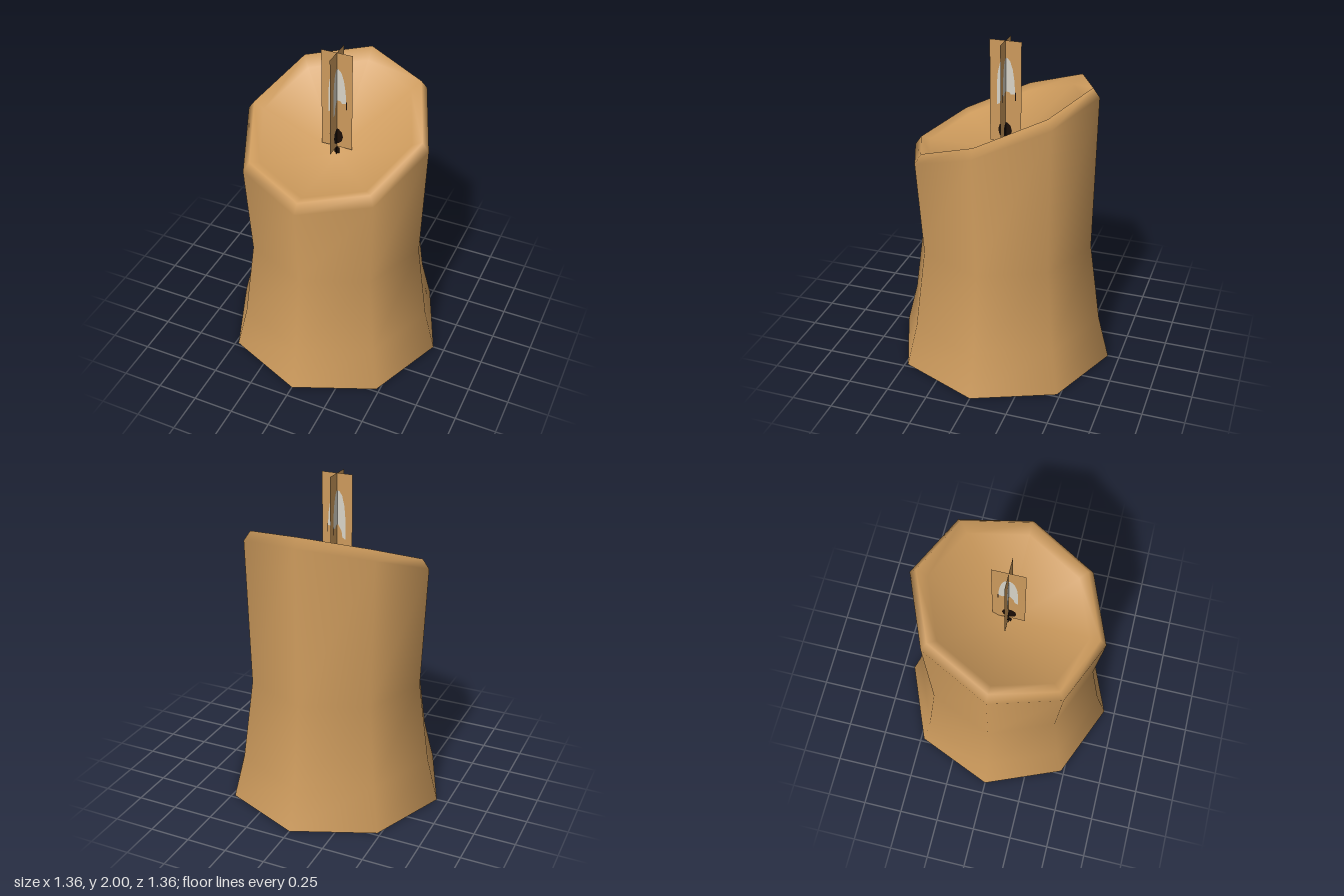
import * as THREE from 'three';

const wax = new THREE.MeshStandardMaterial({ color: 0xcc9a5c, side: THREE.DoubleSide });
wax.name = 'tan wax';
const pale = new THREE.MeshStandardMaterial({ color: 0xd8d4c8, side: THREE.DoubleSide });
pale.name = 'pale flame';
const char = new THREE.MeshStandardMaterial({ color: 0x1a0d05, side: THREE.DoubleSide });
char.name = 'charred wick';

const SIDES = 8;

// Rings from the base up over the slanted rim and down into the hollow:
// radius, height at the axis, slope towards the front, z offset
const rings = [
  [0.68, 0, 0, 0],
  [0.61, 0.27, 0, 0],
  [0.54, 0.77, 0, 0],
  [0.566, 1.51, -0.39, 0.012],
  [0.526, 1.565, -0.417, 0.012],
  [0.465, 1.53, -0.41, 0.012],
];
const HOLLOW = 1.33;

function bodyGeometry() {
  const pos = [], index = [];
  for (const [r, y, slope, dz] of rings) {
    for (let i = 0; i < SIDES; i++) {
      const a = (i / SIDES) * Math.PI * 2;
      const x = Math.sin(a) * r, z = Math.cos(a) * r + dz;
      pos.push(x, y + slope * z, z);
    }
  }
  const centre = rings.length * SIDES;
  pos.push(0, HOLLOW, 0);
  for (let k = 0; k < rings.length; k++) {
    for (let i = 0; i < SIDES; i++) {
      const j = (i + 1) % SIDES;
      const a = k * SIDES + i, b = k * SIDES + j;
      if (k === rings.length - 1) index.push(a, b, centre);
      else index.push(a, b, b + SIDES, a, b + SIDES, a + SIDES);
    }
  }
  const g = new THREE.BufferGeometry();
  g.setAttribute('position', new THREE.Float32BufferAttribute(pos, 3));
  g.setIndex(index);
  g.computeVertexNormals();
  return g;
}

function add(parent, geometry, material, name, x = 0, y = 0, z = 0) {
  const m = new THREE.Mesh(geometry, material);
  m.name = name;
  m.position.set(x, y, z);
  parent.add(m);
  return m;
}

// Flame outline with a notched lower edge
const flame = new THREE.Shape([
  [-0.052, 1.61], [-0.034, 1.62], [-0.028, 1.66], [-0.008, 1.695], [0.022, 1.695],
  [0.032, 1.68], [0.058, 1.685], [0.054, 1.76], [0.044, 1.83], [0.028, 1.88],
  [0.012, 1.897], [-0.014, 1.897], [-0.032, 1.87], [-0.046, 1.81], [-0.052, 1.74],
].map(([x, y]) => new THREE.Vector2(x, y)));

// One upright card with the flame and wick tip on both faces
function flameCard() {
  const card = new THREE.Group();
  card.name = 'flameCard';
  add(card, new THREE.PlaneGeometry(0.19, 0.62), wax, 'card', 0, 1.69, 0);
  for (const z of [-0.002, 0.002]) {
    add(card, new THREE.ShapeGeometry(flame), pale, 'flame', 0, 0, z);
    const tip = add(card, new THREE.CircleGeometry(0.042, 10), char, 'wickTip', -0.003, 1.455, z);
    tip.scale.y = 1.25;
    add(card, new THREE.PlaneGeometry(0.005, 0.05), char, 'flameEdge', 0.06, 1.67, z);
  }
  // short stem reaching down to the wax
  add(card, new THREE.PlaneGeometry(0.03, 0.05), char, 'wickStem', 0, 1.35, 0);
  return card;
}

export function createModel() {
  const model = new THREE.Group();
  model.name = 'candle';
  add(model, bodyGeometry(), wax, 'candleBody');
  for (let i = 0; i < 2; i++) {
    const card = flameCard();
    card.rotation.y = (i * Math.PI) / 2;
    model.add(card);
  }
  return model;
}
